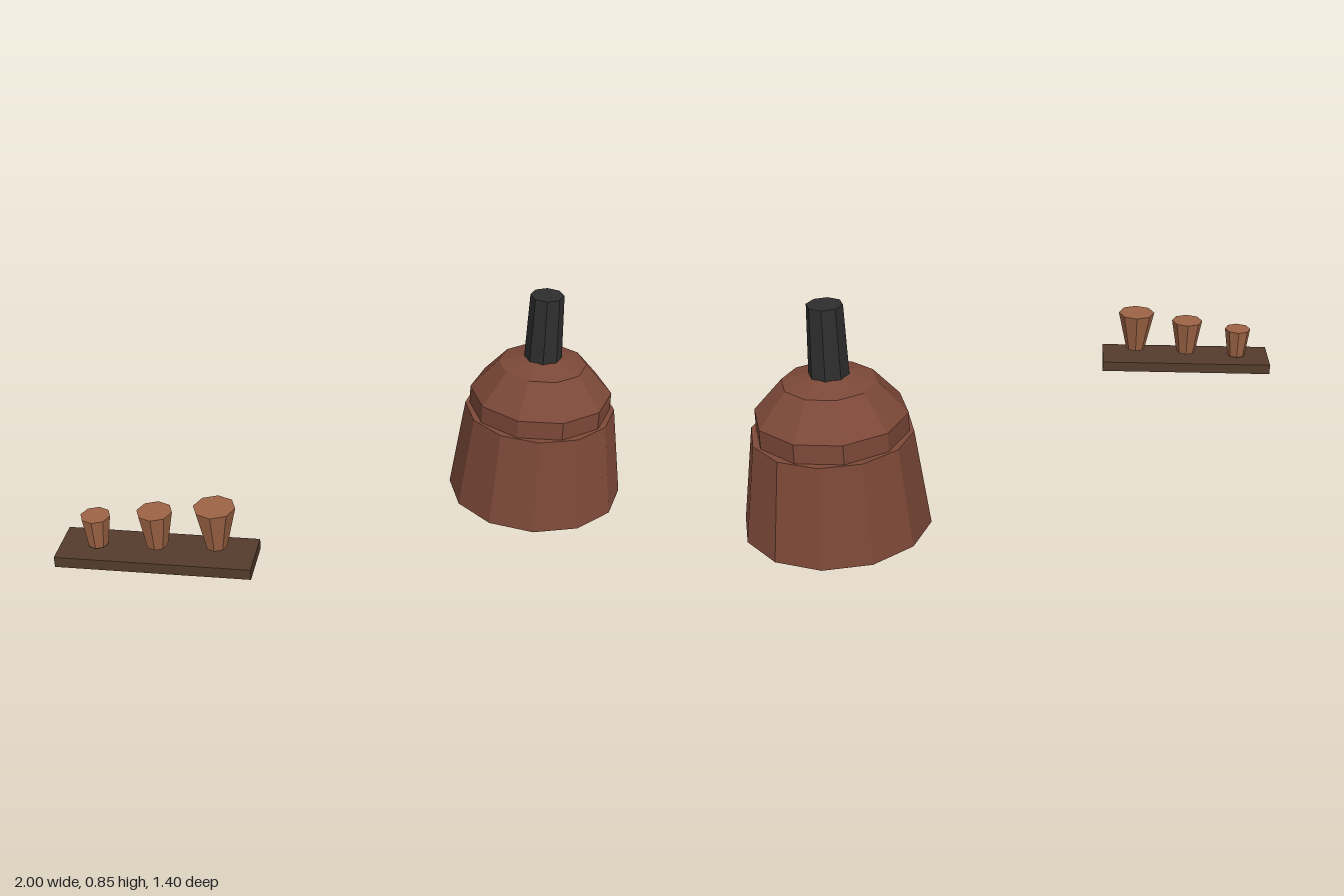
import * as THREE from 'three';

const material = (name, color) => {
  const m = new THREE.MeshStandardMaterial({ color, flatShading: true });
  m.name = name;
  return m;
};

export function createModel() {
  const clay = material('red clay', 0x7c4838);
  const soot = material('soot black', 0x2e2e2e);
  const wood = material('dark wood', 0x543c2c);
  const terracotta = material('terracotta', 0x9c6344);

  const model = new THREE.Group();
  const add = (parent, name, geometry, mat, x, y, z) => {
    const mesh = new THREE.Mesh(geometry, mat);
    mesh.name = name;
    mesh.position.set(x, y, z);
    parent.add(mesh);
    return mesh;
  };
  // Tapered cylinder standing between two heights
  const taper = (parent, name, mat, x, z, y0, y1, rTop, rBottom, sides) =>
    add(parent, name, new THREE.CylinderGeometry(rTop, rBottom, y1 - y0, sides), mat, x, (y0 + y1) / 2, z);

  // Kiln: tapered body, faceted dome and chimney
  const kiln = new THREE.Group();
  kiln.name = 'kiln';
  kiln.position.set(0.655, 0, -0.358);
  model.add(kiln);
  taper(kiln, 'kilnBody', clay, 0, 0, 0, 0.372, 0.292, 0.343, 12);
  add(kiln, 'kilnDome', new THREE.SphereGeometry(0.289, 10, 5), clay, 0, 0.37, 0).scale.y = 0.24 / 0.289;
  taper(kiln, 'chimney', soot, 0, 0, 0.54, 0.85, 0.064, 0.074, 8);

  // Plank shelf with three pots of growing size hovering just above it
  const shelf = new THREE.Group();
  shelf.name = 'potShelf';
  shelf.position.set(0, 0, 0.607);
  model.add(shelf);
  add(shelf, 'plank', new THREE.BoxGeometry(0.687, 0.04, 0.187), wood, -0.6565, 0.24, 0);
  [
    [-0.868, 0.266, 0.382, 0.052, 0.036],
    [-0.658, 0.277, 0.414, 0.062, 0.038],
    [-0.448, 0.288, 0.446, 0.073, 0.038],
  ].forEach(([x, y0, y1, rTop, rBottom], i) =>
    taper(shelf, `pot${i + 1}`, terracotta, x, 0, y0, y1, rTop, rBottom, 8));

  return model;
}
